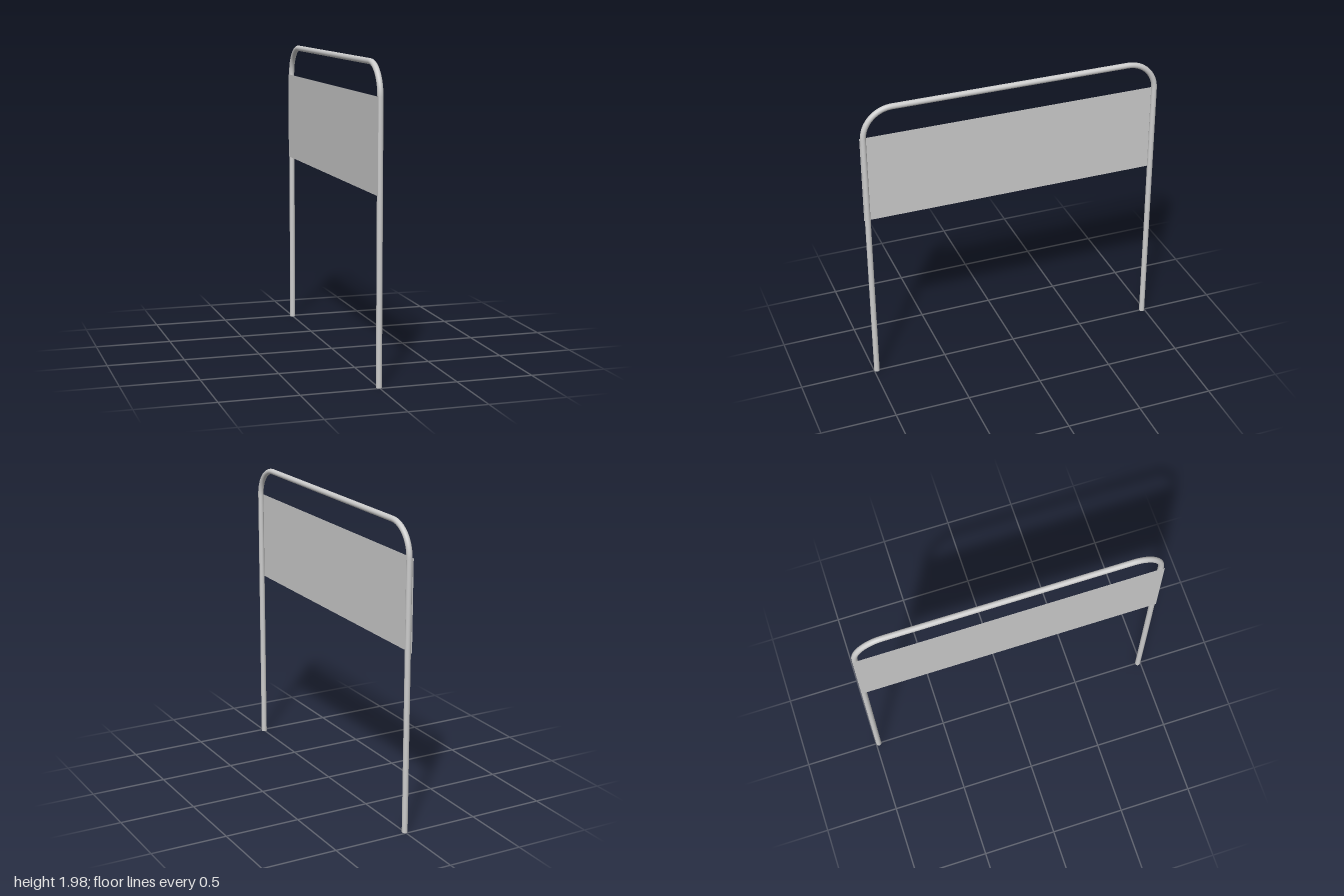
import * as THREE from 'three';

export function createModel() {
  const model = new THREE.Group();
  const material = new THREE.MeshStandardMaterial({ color: 0xcccccc, side: THREE.DoubleSide });
  const radius = 0.0185, halfSpan = 1 - radius, top = 1.96, bend = 0.195;
  const add = (name, geometry, x, y, z) => {
    const mesh = new THREE.Mesh(geometry, material);
    mesh.name = name;
    mesh.position.set(x, y, z);
    model.add(mesh);
    return mesh;
  };

  // Two upright posts with closed feet, each with a rounded corner
  const postHeight = top - bend;
  for (const side of [1, -1]) {
    const label = side > 0 ? 'front' : 'back';
    add(label + 'Post', new THREE.CylinderGeometry(radius, radius, postHeight, 24), 0, postHeight / 2, side * halfSpan);
    const corner = add(label + 'Corner', new THREE.TorusGeometry(bend, radius, 24, 24, Math.PI / 2),
      0, postHeight, side * (halfSpan - bend));
    corner.rotation.y = -side * Math.PI / 2;
  }

  // Straight top rail
  const rail = add('topRail', new THREE.CylinderGeometry(radius, radius, 2 * (halfSpan - bend), 24, 1, true), 0, top, 0);
  rail.rotation.x = Math.PI / 2;

  // Thin panel fixed to one side of the posts
  const panel = add('panel', new THREE.PlaneGeometry(2, 0.59), -radius, 1.47, 0);
  panel.rotation.y = Math.PI / 2;

  return model;
}
